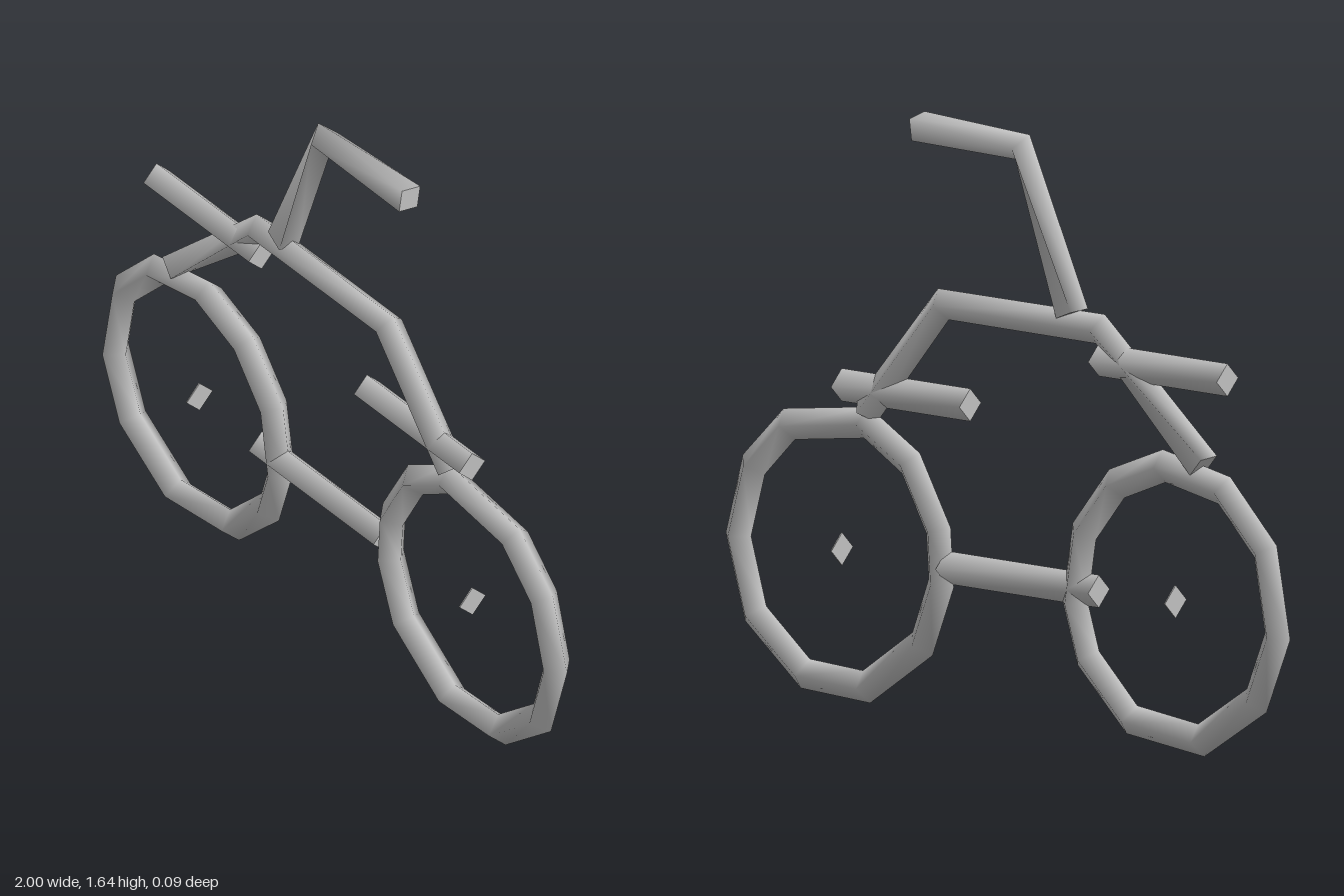
import * as THREE from 'three';

const R = 0.045; // half diagonal of every diamond-section bar

// Sweep a four-sided section along a path in the xy plane; twists turn the section at each point.
function bar(points, { closed = false, twists = [] } = {}) {
  const n = points.length, pos = [], idx = [];
  const P = points.map(([x, y]) => new THREE.Vector2(x, y));
  const dir = (a, b) => P[b].clone().sub(P[a]).normalize();
  for (let i = 0; i < n; i++) {
    const t = new THREE.Vector2();
    if (closed || i > 0) t.add(dir((i + n - 1) % n, i));
    if (closed || i < n - 1) t.add(dir(i, (i + 1) % n));
    t.normalize();
    for (let j = 0; j < 4; j++) {
      const a = j * Math.PI / 2 + (twists[i] || 0);
      const c = R * Math.cos(a);
      pos.push(P[i].x - t.y * c, P[i].y + t.x * c, R * Math.sin(a));
    }
  }
  const spans = closed ? n : n - 1;
  for (let i = 0; i < spans; i++) {
    const k = ((i + 1) % n) * 4;
    for (let j = 0; j < 4; j++) {
      const j2 = (j + 1) % 4;
      idx.push(i * 4 + j, i * 4 + j2, k + j, i * 4 + j2, k + j2, k + j);
    }
  }
  if (!closed) {
    // End caps get their own corners so that their edges stay sharp
    const last = (n - 1) * 4, s = n * 4, e = s + 4;
    pos.push(...pos.slice(0, 12), ...pos.slice(last * 3, last * 3 + 12));
    idx.push(s, s + 2, s + 1, s, s + 3, s + 2, e, e + 1, e + 2, e, e + 2, e + 3);
  }
  const g = new THREE.BufferGeometry();
  g.setAttribute('position', new THREE.Float32BufferAttribute(pos, 3));
  g.setIndex(idx);
  g.computeVertexNormals();
  return g;
}

export function createModel() {
  const model = new THREE.Group();
  model.name = 'bicycle';
  const grey = new THREE.MeshStandardMaterial({ color: 0xc0c0c0, side: THREE.DoubleSide });
  grey.name = 'light grey';

  const add = (name, points, options) => {
    const mesh = new THREE.Mesh(bar(points, options), grey);
    mesh.name = name;
    model.add(mesh);
  };

  // Wheels: slightly uneven eleven-sided rings
  const wheel = (name, cx, angles) => add(name, angles.map(d => {
    const a = d * Math.PI / 180;
    return [cx + 0.36 * Math.cos(a), 0.41 + 0.375 * Math.sin(a)];
  }), { closed: true });
  wheel('rightWheel', -0.595, [-6, 25, 54, 83, 118, 151, 187, 218, 256, 296, 330]);
  wheel('leftWheel', 0.595, [0, 32, 60, 105, 134, 165, 187, 216, 255, 290, 326]);

  // Small flat hubs
  for (const [name, x] of [['rightHub', -0.59], ['leftHub', 0.59]]) {
    add(name, [[x - 0.002, 0.415], [x + 0.002, 0.415]]);
  }

  // Frame and lower connecting bar
  add('frame', [[-0.69, 0.8], [-0.325, 1.13], [0.23, 1.13], [0.5, 0.805]], { twists: [0.7, 0, 0, 0] });
  add('lowerBar', [[-0.32, 0.41], [0.22, 0.41]]);

  // Handlebar: leaning stem with a grip
  add('handlebar', [[-0.225, 1.16], [-0.05, 1.595], [0.32, 1.607]], { twists: [0.65, 0, 0.6] });

  // Short cross bars
  add('upperCrossBar', [[-0.775, 1.045], [-0.32, 1.045]]);
  add('lowerCrossBar', [[0.135, 0.865], [0.59, 0.865]]);

  return model;
}
